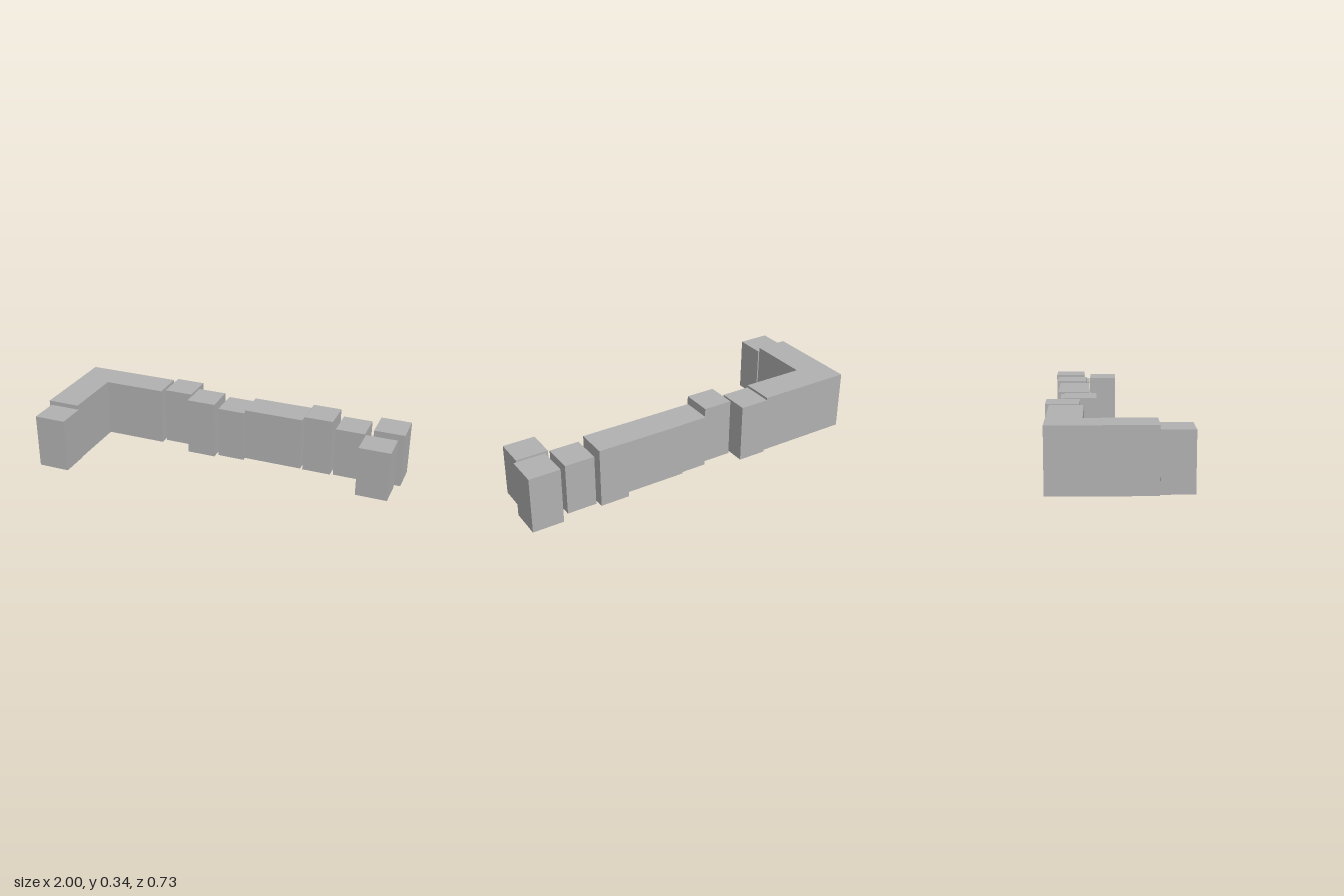
import * as THREE from 'three';

export function createModel() {
  const model = new THREE.Group();
  model.name = 'buildingRow';
  const gray = new THREE.MeshStandardMaterial({ color: 0xb2b2b2 });
  gray.name = 'plainGray';

  // Box house given by its extents along x, y and z
  function house(name, [x0, x1], [y0, y1], [z0, z1]) {
    const mesh = new THREE.Mesh(new THREE.BoxGeometry(x1 - x0, y1 - y0, z1 - z0), gray);
    mesh.position.set((x0 + x1) / 2, (y0 + y1) / 2, (z0 + z1) / 2);
    mesh.name = name;
    model.add(mesh);
  }

  // L-shaped corner building: footprint drawn as (x, -z), extruded upwards
  const footprint = new THREE.Shape([
    [-1, -0.196], [-0.815, -0.196], [-0.815, 0.165],
    [-0.457, 0.165], [-0.457, 0.345], [-1, 0.345],
  ].map(([x, y]) => new THREE.Vector2(x, y)));
  const cornerGeometry = new THREE.ExtrudeGeometry(footprint, { depth: 0.337, bevelEnabled: false });
  cornerGeometry.rotateX(-Math.PI / 2);
  const corner = new THREE.Mesh(cornerGeometry, gray);
  corner.position.y = 0.004;
  corner.name = 'cornerBuilding';
  model.add(corner);

  // House closing the front of the corner wing
  house('wingEndHouse', [-0.988, -0.808], [0.007, 0.317], [0.197, 0.366]);

  // Row of houses, from the corner outwards
  house('rowHouse1', [-0.439, -0.273], [0.01, 0.342], [-0.367, -0.188]);
  house('rowHouse2', [-0.258, -0.091], [0.01, 0.345], [-0.274, -0.101]);
  house('rowHouse3', [-0.076, 0.082], [0.01, 0.312], [-0.302, -0.126]);
  house('longRowHouse', [0.082, 0.424], [0.015, 0.323], [-0.32, -0.143]);
  house('rowHouse4', [0.432, 0.596], [0.002, 0.336], [-0.338, -0.162]);
  house('rowHouse5', [0.618, 0.783], [0.014, 0.302], [-0.322, -0.148]);
  house('backEndHouse', [0.824, 0.997], [0.002, 0.317], [-0.359, -0.183]);
  house('frontEndHouse', [0.79, 0.968], [0.013, 0.302], [-0.143, 0.02]);

  return model;
}
